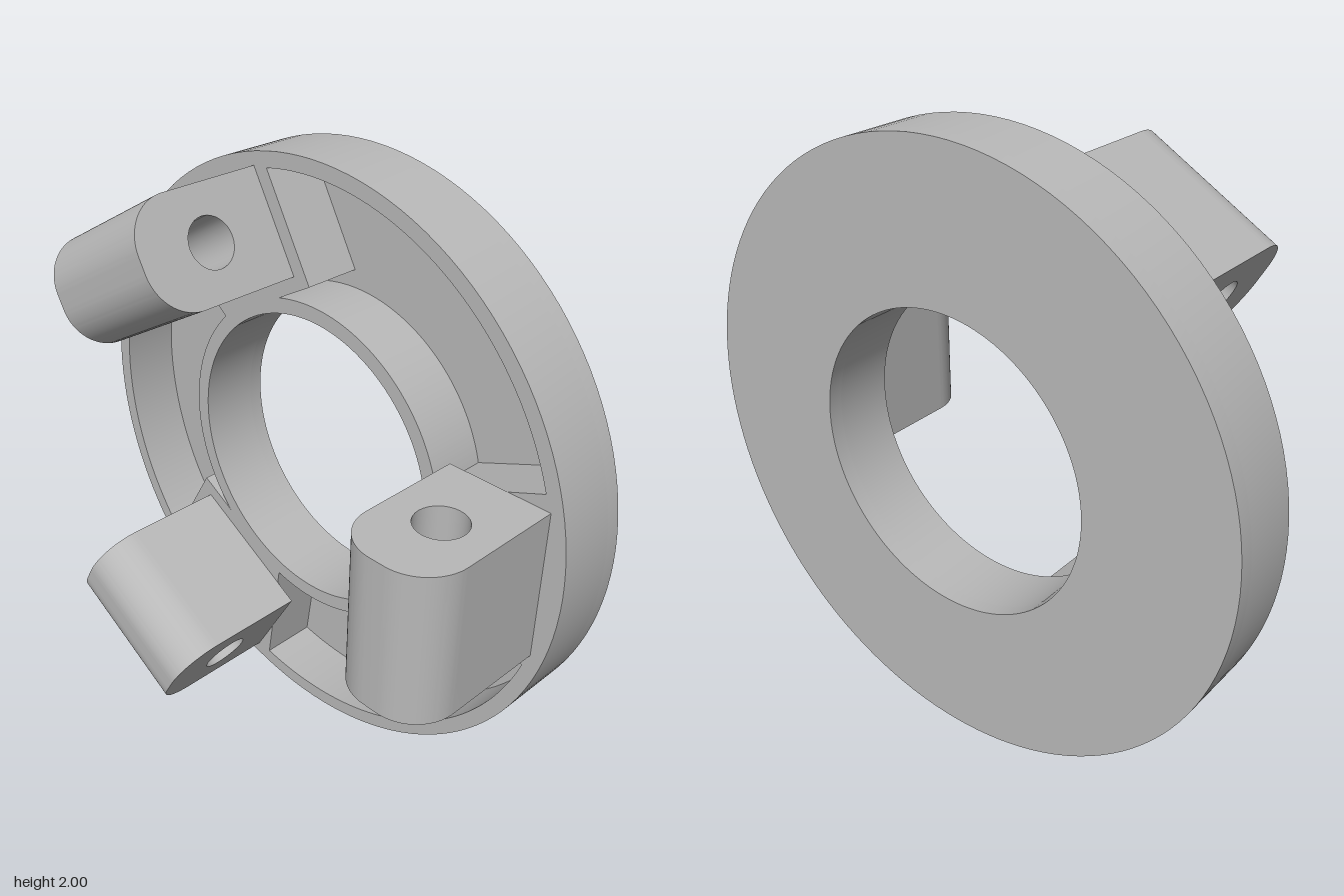
import * as THREE from 'three';
import { toCreasedNormals } from 'three/addons/utils/BufferGeometryUtils.js';

const THIRD = Math.PI * 2 / 3;
const PAD_X = 0.53, PAD_HALF = 0.3;      // solid pad under each lug
const POCKET_IN = 0.55, POCKET_OUT = 0.95;
const FRONT = -0.125, BACK = -0.375, FLOOR = 0.05;

function extrude(shape, depth, curveSegments) {
  const g = new THREE.ExtrudeGeometry(shape, { depth, curveSegments, bevelEnabled: false });
  return toCreasedNormals(g, 0.5);
}

function ringShape() {
  const s = new THREE.Shape();
  s.absarc(0, 0, 1, 0, Math.PI * 2, false);
  const bore = new THREE.Path();
  bore.absarc(0, 0, 0.5, 0, Math.PI * 2, true);
  s.holes.push(bore);
  return s;
}

// Pocket outline between the pad at angle a and the next pad
function pocketPath(a) {
  const corner = (x, y, t) =>
    [x * Math.cos(t) - y * Math.sin(t), x * Math.sin(t) + y * Math.cos(t)];
  const outer = Math.asin(PAD_HALF / POCKET_OUT);
  const inner = Math.acos(PAD_X / POCKET_IN);
  const p = new THREE.Path();
  p.moveTo(...corner(PAD_X, PAD_HALF, a));
  p.absarc(0, 0, POCKET_OUT, a + outer, a + THIRD - outer, false);
  p.lineTo(...corner(PAD_X, -PAD_HALF, a + THIRD));
  p.absarc(0, 0, POCKET_IN, a + THIRD - inner, a + inner, true);
  p.closePath();
  return p;
}

// Lug profile in x and z, rounded at the front, with a pin hole
function lugGeometry() {
  const x0 = 0.575, x1 = 0.925, z1 = 0.375, r = 0.15, width = 0.5;
  const s = new THREE.Shape();
  s.moveTo(x0, FRONT);
  s.lineTo(x1, FRONT);
  s.absarc(x1 - r, z1 - r, r, 0, Math.PI / 2, false);
  s.absarc(x0 + r, z1 - r, r, Math.PI / 2, Math.PI, false);
  s.closePath();
  const hole = new THREE.Path();
  hole.absarc(0.75, 0.122, 0.08, 0, Math.PI * 2, true);
  s.holes.push(hole);
  return extrude(s, width, 16).translate(0, 0, -width / 2).rotateX(Math.PI / 2);
}

export function createModel() {
  const model = new THREE.Group();
  model.name = 'lugRing';
  const grey = new THREE.MeshStandardMaterial({ color: 0xb8b8b8 });
  grey.name = 'grey';

  const add = (geometry, name) => {
    const mesh = new THREE.Mesh(geometry, grey);
    mesh.name = name;
    mesh.position.y = 1;
    model.add(mesh);
    return mesh;
  };

  // Thin back plate, which is also the pocket floor
  add(extrude(ringShape(), FLOOR, 64), 'backPlate').position.z = BACK;

  // Ring body with three pockets
  const body = ringShape();
  for (let i = 0; i < 3; i++) body.holes.push(pocketPath(i * THIRD));
  add(extrude(body, FRONT - BACK - FLOOR, 64), 'pocketedRing').position.z = BACK + FLOOR;

  // Three mounting lugs
  const lug = lugGeometry();
  for (let i = 0; i < 3; i++) add(lug, 'lug' + (i + 1)).rotation.z = i * THIRD;

  return model;
}
